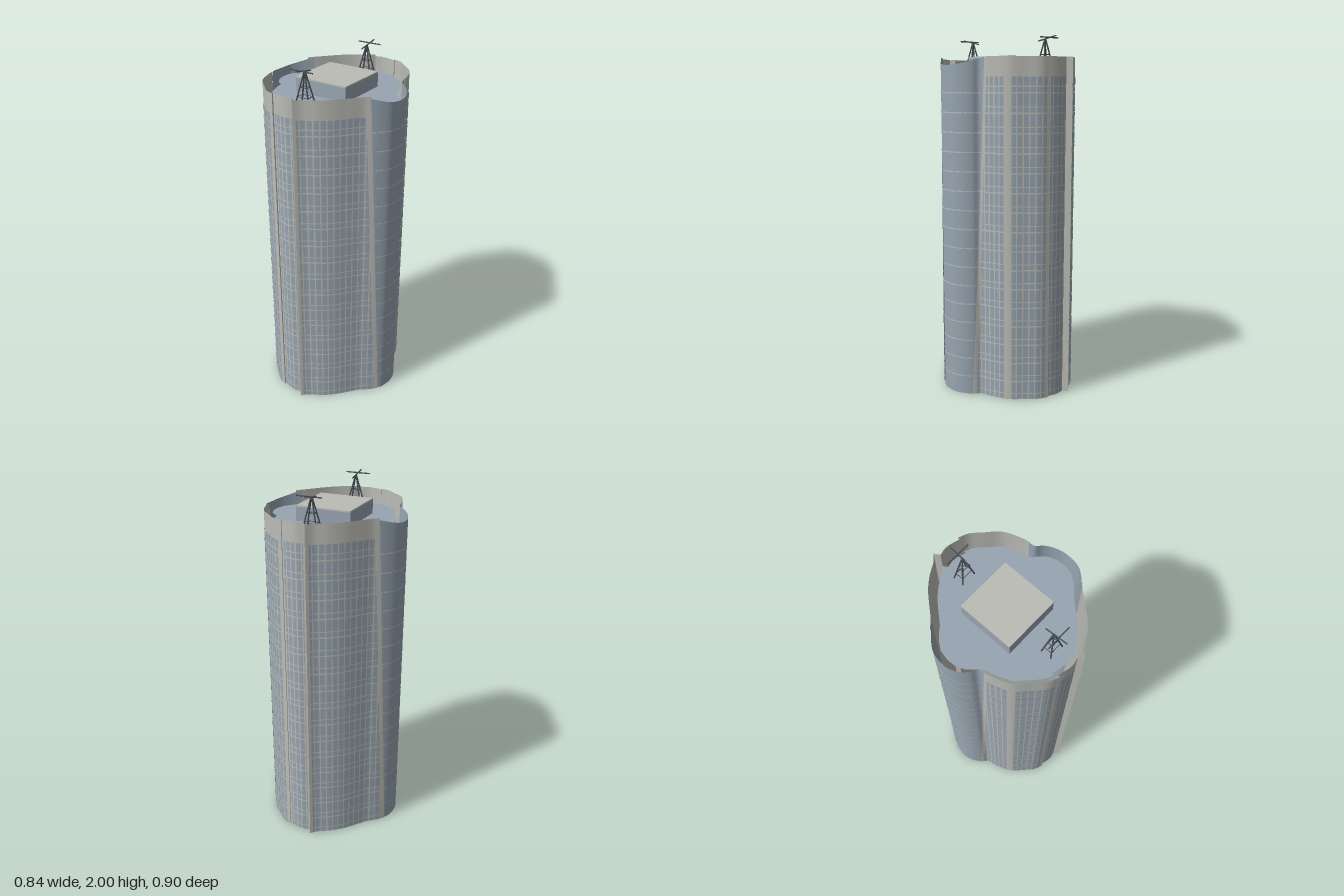
import * as THREE from 'three';

const glass = new THREE.MeshStandardMaterial({ name: 'blue glass', color: 0x97a5b1, side: THREE.DoubleSide });
const stone = new THREE.MeshStandardMaterial({ name: 'pale grey', color: 0xbcbcb7, side: THREE.DoubleSide });
const steel = new THREE.MeshStandardMaterial({ name: 'dark steel', color: 0x4b5157 });

const TOP = 1.885, ROOF = 1.81, FLOOR = 0.106, WINDOW_TOP = 1.78;
const lerp = THREE.MathUtils.lerp;

// Plan curves [x, z] for one half of the tower; the other half is turned by 180 degrees
const FRONT = [[0.04, 0.452], [0.074, 0.42], [0.142, 0.38], [0.2, 0.332], [0.252, 0.273], [0.305, 0.211]];
const LOBE = [[0.333, 0.189], [0.37, 0.155], [0.406, 0.107], [0.42, 0.044], [0.417, -0.008],
  [0.396, -0.061], [0.364, -0.099], [0.334, -0.118]];
const BACK = [[0.319, -0.182], [0.278, -0.286], [0.211, -0.353], [0.155, -0.404], [0.104, -0.425]];
const CENTRE = [[0.109, -0.41], [0.061, -0.425], [0.022, -0.431], [-0.022, -0.422]];

const plan = (pts) => {
  const c = new THREE.CatmullRomCurve3(pts.map(([x, z]) => new THREE.Vector3(x, 0, z)));
  c.arcLengthDivisions = 400;
  return c;
};

// Position along a plan curve (0..1) closest to a given x, z
function nearest(curve, x, z) {
  let best = 0, dist = Infinity;
  for (let i = 0; i <= 400; i++) {
    const p = curve.getPointAt(i / 400), d = Math.hypot(p.x - x, p.z - z);
    if (d < dist) { dist = d; best = i / 400; }
  }
  return best;
}

// Collects upright patches that follow a plan curve
class Patches {
  constructor() { this.pos = []; this.nor = []; this.idx = []; }

  // s0, s1: sides as functions of height; y0, y1: bottom and top as functions of u
  add(curve, s0, s1, y0, y1, offset, cols, rows) {
    const first = this.pos.length / 3;
    for (let j = 0; j <= rows; j++) {
      for (let i = 0; i <= cols; i++) {
        const u = i / cols, y = lerp(y0, y1(u), j / rows);
        const s = THREE.MathUtils.clamp(lerp(s0(y), s1(y), u), 0, 1);
        const p = curve.getPointAt(s), t = curve.getTangentAt(s);
        this.pos.push(p.x - t.z * offset, y, p.z + t.x * offset);
        this.nor.push(-t.z, 0, t.x);
      }
    }
    for (let j = 0; j < rows; j++) {
      for (let i = 0; i < cols; i++) {
        const a = first + j * (cols + 1) + i, b = a + 1, c = a + cols + 1, d = c + 1;
        this.idx.push(a, b, d, a, d, c);
      }
    }
    return this;
  }

  mesh(name, material) {
    const g = new THREE.BufferGeometry();
    g.setAttribute('position', new THREE.Float32BufferAttribute(this.pos, 3));
    g.setAttribute('normal', new THREE.Float32BufferAttribute(this.nor, 3));
    g.setIndex(this.idx);
    const m = new THREE.Mesh(g, material);
    m.name = name;
    return m;
  }
}

const slant = (bottom, top) => (y) => lerp(bottom, top, y / TOP);

// Grid of panes, two bands per floor, trimmed to the given sides
function addWindows(patches, curve, s0, s1, pitch) {
  const step = pitch / curve.getLength(), gap = 0.0035 / curve.getLength();
  for (let base = 0; base < WINDOW_TOP; base += FLOOR) {
    for (const [lo, hi] of [[0.004, 0.031], [0.037, 0.102]]) {
      const ya = base + lo, yb = Math.min(base + hi, WINDOW_TOP);
      if (yb - ya < 0.005) continue;
      for (let s = 0; s < 1; s += step) {
        const left = (y) => Math.max(s + gap, s0(y)), right = (y) => Math.min(s + step - gap, s1(y));
        if (right(ya) <= left(ya) || right(yb) <= left(yb)) continue;
        patches.add(curve, left, right, ya, () => yb, 0.003, 1, 1);
      }
    }
  }
}

function rod(a, b, radius) {
  const from = new THREE.Vector3(...a), to = new THREE.Vector3(...b);
  const dir = to.clone().sub(from);
  const m = new THREE.Mesh(new THREE.CylinderGeometry(radius, radius, dir.length(), 8), steel);
  m.position.copy(from).add(to).multiplyScalar(0.5);
  m.quaternion.setFromUnitVectors(new THREE.Vector3(0, 1, 0), dir.normalize());
  return m;
}

// Four-legged mast with a tilted cross on top
function createMast() {
  const mast = new THREE.Group();
  mast.name = 'roofMast';
  const corners = [[1, 1], [1, -1], [-1, -1], [-1, 1]];
  const at = ([sx, sz], y) => {
    const k = 1 - 0.95 * (y - ROOF) / 0.17;
    return [sx * 0.042 * k, y, sz * 0.029 * k];
  };
  corners.forEach((c, i) => {
    mast.add(rod(at(c, ROOF), at(c, 1.982), 0.004));
    for (const y of [1.85, 1.9]) mast.add(rod(at(c, y), at(corners[(i + 1) % 4], y), 0.002));
  });
  mast.add(rod([0, 1.973, 0.05], [0, 1.997, -0.077], 0.0035));
  mast.add(rod([-0.071, 1.989, -0.029], [0.071, 1.989, -0.029], 0.0035));
  mast.position.z = -0.288;
  return mast;
}

function createHalf() {
  const half = new THREE.Group();
  const walls = new Patches(), windows = new Patches(), lobes = new Patches(), bands = new Patches();
  const flat = () => TOP, zero = () => 0, one = () => 1;

  // Front shell, wrapping over the side lobe with a slanted edge
  const front = plan([...FRONT, ...LOBE.slice(0, 4)]);
  const frontEdge = slant(nearest(front, 0.39, 0.13), nearest(front, 0.333, 0.189));
  walls.add(front, zero, frontEdge, 0, flat, 0, 32, 12);
  const frontTrim = 0.026 / front.getLength();
  addWindows(windows, front, () => 0.03, (y) => frontEdge(y) - frontTrim, 0.034);

  // Back shell, with a plain pier between two window fields
  const back = plan([...LOBE.slice(5), ...BACK]);
  const backEdge = slant(nearest(back, 0.372, -0.093), nearest(back, 0.327, -0.15));
  walls.add(back, backEdge, one, 0, flat, 0, 32, 12);
  const backTrim = 0.02 / back.getLength();
  const pierA = nearest(back, 0.288, -0.262), pierB = nearest(back, 0.268, -0.298);
  addWindows(windows, back, (y) => backEdge(y) + backTrim, () => pierA, 0.03);
  addWindows(windows, back, () => pierB, () => 0.95, 0.034);

  // Recessed centre bay and its two return walls
  const centre = plan(CENTRE);
  walls.add(centre, zero, one, 0, flat, 0, 12, 1);
  addWindows(windows, centre, () => 0.1, () => 0.95, 0.03);
  walls.add(plan([BACK[4], CENTRE[0]]), zero, one, 0, flat, 0, 1, 1);
  walls.add(plan([CENTRE[3], FRONT[0].map((v) => -v)]), zero, one, 0, flat, 0, 1, 1);

  // Glass side lobe with a dipped top and dashed floor lines
  const lobe = plan([FRONT[5], ...LOBE, [0.327, -0.15]]);
  lobes.add(lobe, zero, one, 0, (u) => TOP - 0.042 * Math.sin(Math.PI * u), -0.004, 40, 1);
  for (let k = 1; k <= 16; k++) {
    const y = k * FLOOR;
    for (let i = 0; i < 8; i++) {
      const a = 0.04 + i * 0.115;
      bands.add(lobe, () => a, () => a + 0.1, y - 0.003, () => y + 0.004, -0.0015, 5, 1);
    }
  }

  half.add(
    walls.mesh('outerWall', stone), windows.mesh('windows', glass),
    lobes.mesh('sideLobe', glass), bands.mesh('lobeFloorLines', stone), createMast());
  return half;
}

export function createModel() {
  const tower = new THREE.Group();
  tower.name = 'tower';
  for (const [name, turn] of [['rightHalf', 0], ['leftHalf', Math.PI]]) {
    const half = createHalf();
    half.name = name;
    half.rotation.y = turn;
    tower.add(half);
  }

  // Sunken roof, the wall plan drawn slightly smaller
  const halfPlan = [...FRONT, ...LOBE, ...BACK, ...CENTRE];
  const outline = [...halfPlan, ...halfPlan.map(([x, z]) => [-x, -z])]
    .map(([x, z]) => new THREE.Vector2(x * 0.9, -z * 0.9));
  const roof = new THREE.Mesh(new THREE.ShapeGeometry(new THREE.Shape(outline)).rotateX(-Math.PI / 2), glass);
  roof.name = 'roof';
  roof.position.y = ROOF;

  // Raised landing pad
  const base = new THREE.Mesh(new THREE.BoxGeometry(0.314, 0.076, 0.314), glass);
  base.name = 'landingPadBase';
  base.position.y = ROOF + 0.038;
  const deck = new THREE.Mesh(new THREE.BoxGeometry(0.314, 0.008, 0.314), stone);
  deck.name = 'landingPadDeck';
  deck.position.y = ROOF + 0.08;
  tower.add(roof, base, deck);
  return tower;
}
